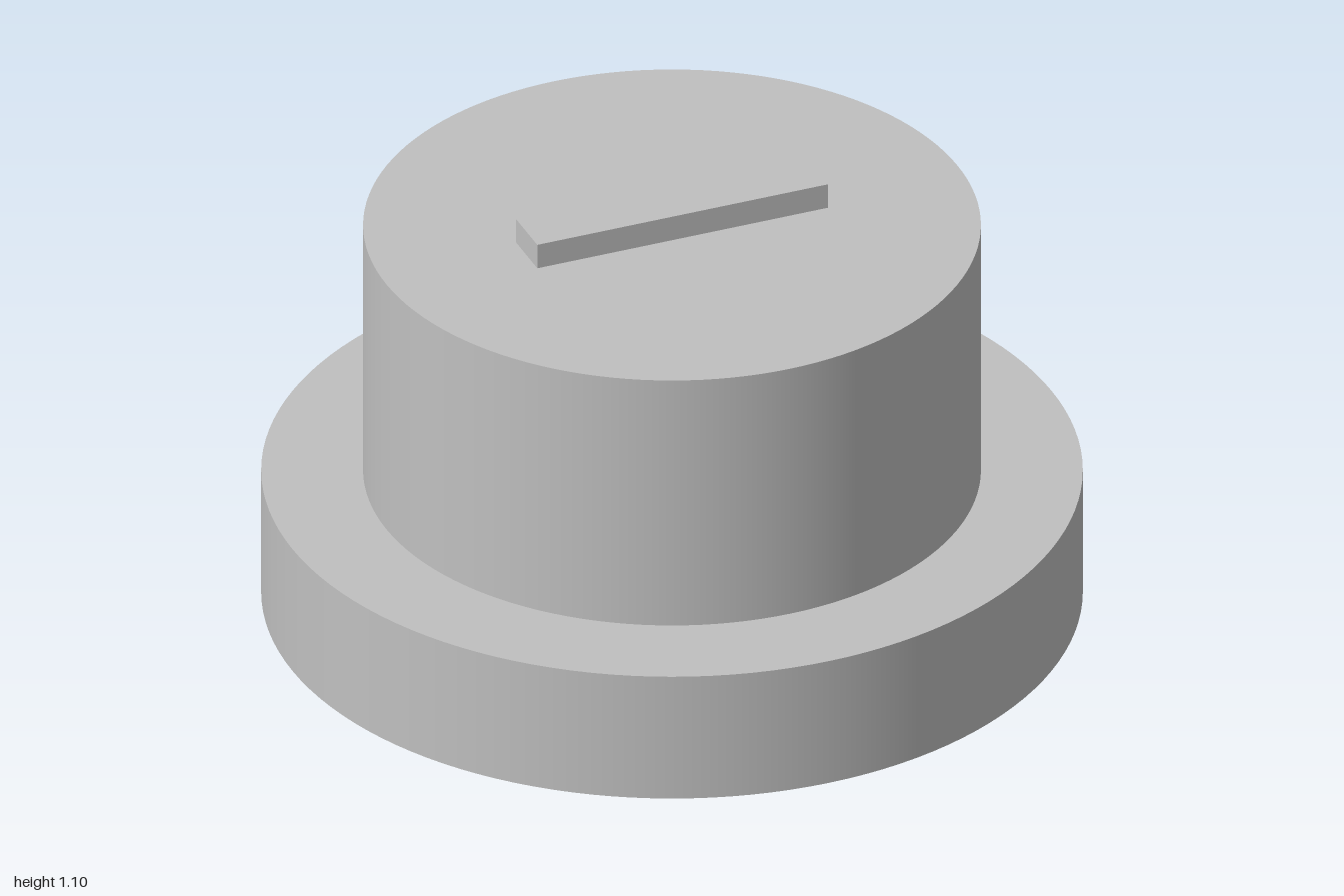
import * as THREE from 'three';

export function createModel() {
  const model = new THREE.Group();
  const grey = new THREE.MeshStandardMaterial({ color: 0xc0c0c0 });
  grey.name = 'light grey';

  const add = (parent, name, geometry) => {
    const mesh = new THREE.Mesh(geometry, grey);
    mesh.name = name;
    parent.add(mesh);
    return mesh;
  };

  // Each straight run of the profile is its own lathe, so the rims stay sharp
  const turned = (partName, runs) => {
    const part = new THREE.Group();
    part.name = partName;
    model.add(part);
    for (const [name, r0, y0, r1, y1] of runs) {
      const points = [new THREE.Vector2(r0, y0), new THREE.Vector2(r1, y1)];
      add(part, name, new THREE.LatheGeometry(points, 128));
    }
  };

  const flangeTop = 0.343, hubTop = 1.033, hubRadius = 0.752;

  // Wide round flange at the bottom
  turned('flange', [
    ['flangeUnderside', 0, 0, 1, 0],
    ['flangeRim', 1, 0, 1, flangeTop],
    ['flangeLedge', 1, flangeTop, hubRadius, flangeTop],
  ]);

  // Narrower cylindrical hub
  turned('hub', [
    ['hubWall', hubRadius, flangeTop, hubRadius, hubTop],
    ['hubCap', hubRadius, hubTop, 0, hubTop],
  ]);

  // Raised key bar across the cap
  const barHeight = 0.066;
  const bar = add(model, 'keyBar', new THREE.BoxGeometry(0.766, barHeight, 0.136));
  bar.position.y = hubTop + barHeight / 2;

  return model;
}
